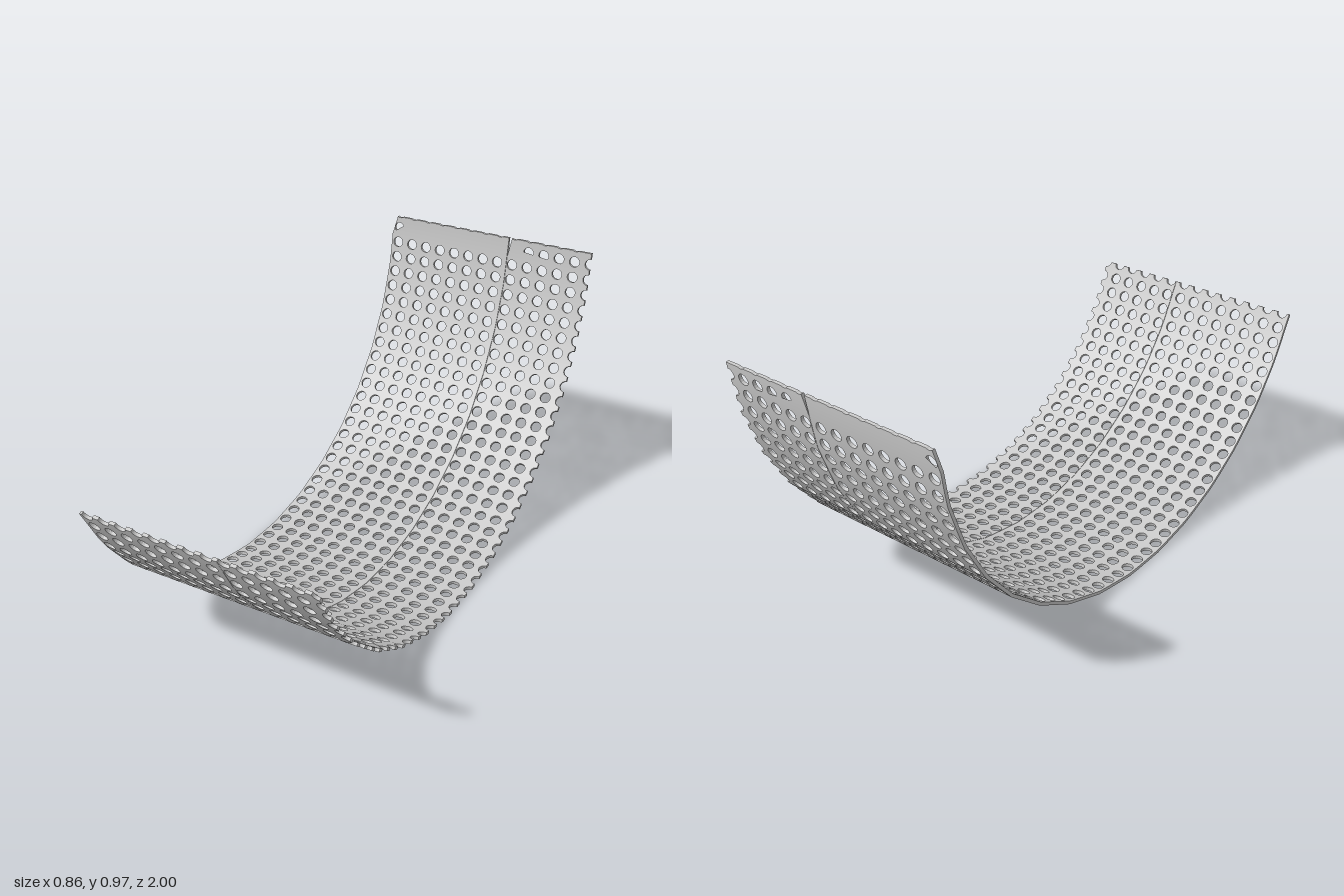
import * as THREE from 'three';
import { mergeGeometries } from 'three/addons/utils/BufferGeometryUtils.js';

const R = 1.043, THICK = 0.012, AXIS_Y = 1.04, AXIS_Z = 0.04;
const A0 = THREE.MathUtils.degToRad(-86), A1 = THREE.MathUtils.degToRad(67);
const FACETS = 15, STEP = (A1 - A0) / FACETS;
const LENGTH = R * (A1 - A0);
const HOLE = 0.0205, PITCH_X = 0.0635, FIRST_X = -0.399;
const ROWS = 45, FIRST_S = 0.044, PITCH_S = (LENGTH - FIRST_S) / ROWS;

// Flat outline of one row of the sheet: x across, y along the arc from the back end
function rowShape(x0, x1, columns, row, notched) {
  const mid = FIRST_S + row * PITCH_S;
  const first = row === 0, last = row === ROWS;
  const s0 = first ? 0 : mid - PITCH_S / 2;
  const s1 = last ? LENGTH : mid + PITCH_S / 2;
  const shape = new THREE.Shape();
  shape.moveTo(x0, s0);
  // shallow nicks along the back end
  if (first) {
    const cy = FIRST_S - PITCH_S, a = Math.asin(-cy / HOLE);
    for (const x of columns) shape.absarc(x, cy, HOLE, Math.PI - a, a, true);
  }
  shape.lineTo(x1, s0);
  // half holes on the side edge
  if (notched) shape.absarc(x1, mid, HOLE, -Math.PI / 2, last ? -Math.PI : Math.PI / 2, true);
  if (!(notched && last)) shape.lineTo(x1, s1);
  // half holes along the front end, full holes elsewhere
  if (last) {
    for (const x of [...columns].reverse()) shape.absarc(x, mid, HOLE, 0, -Math.PI, true);
  } else {
    for (const x of columns) {
      const hole = new THREE.Path();
      hole.absarc(x, mid, HOLE, 0, Math.PI * 2, true);
      shape.holes.push(hole);
    }
  }
  shape.lineTo(x0, s1);
  shape.closePath();
  return { shape, s0, s1 };
}

// Extrude a row and drop the walls where it meets its neighbours
function rowGeometry(...args) {
  const { shape, s0, s1 } = rowShape(...args);
  const source = new THREE.ExtrudeGeometry(shape, { depth: THICK, bevelEnabled: false, curveSegments: 8 });
  const p = source.attributes.position, n = source.attributes.normal;
  const joints = [s0, s1].filter((s) => s > 1e-4 && s < LENGTH - 1e-4);
  const positions = [], normals = [];
  for (let i = 0; i < p.count; i += 3) {
    if (joints.some((s) => [0, 1, 2].every((k) => Math.abs(p.getY(i + k) - s) < 1e-5))) continue;
    for (let k = i; k < i + 3; k++) {
      positions.push(p.getX(k), p.getY(k), p.getZ(k));
      normals.push(n.getX(k), n.getY(k), n.getZ(k));
    }
  }
  const geometry = new THREE.BufferGeometry();
  geometry.setAttribute('position', new THREE.Float32BufferAttribute(positions, 3));
  geometry.setAttribute('normal', new THREE.Float32BufferAttribute(normals, 3));
  return geometry;
}

// Roll the flat sheet onto a faceted arc, keeping the normals smooth
function bend(geometry) {
  const p = geometry.attributes.position, n = geometry.attributes.normal;
  for (let i = 0; i < p.count; i++) {
    const t = p.getY(i) / LENGTH * FACETS;
    const k = Math.min(FACETS - 1, Math.max(0, Math.floor(t))), f = t - k;
    const a = A0 + k * STEP, b = a + STEP, angle = A0 + t * STEP;
    const r = R - THICK + p.getZ(i);
    const sin = Math.sin(a) * (1 - f) + Math.sin(b) * f;
    const cos = Math.cos(a) * (1 - f) + Math.cos(b) * f;
    p.setXYZ(i, p.getX(i), AXIS_Y - r * cos, AXIS_Z + r * sin);
    const ns = n.getY(i), nd = n.getZ(i), c = Math.cos(angle), s = Math.sin(angle);
    n.setXYZ(i, n.getX(i), ns * s - nd * c, ns * c + nd * s);
  }
  return geometry;
}

export function createModel() {
  const model = new THREE.Group();
  model.name = 'perforatedCurvedScreen';
  const material = new THREE.MeshStandardMaterial({ color: 0xcccccc });

  // Two perforated panels meeting at a hairline seam
  const panels = [
    { name: 'widePanel', x0: -0.428, x1: 0.0843, from: 0, count: 8, notched: false },
    { name: 'narrowPanel', x0: 0.0857, x1: 0.427, from: 8, count: 5, notched: true },
  ];
  for (const { name, x0, x1, from, count, notched } of panels) {
    const columns = Array.from({ length: count }, (_, i) => FIRST_X + (from + i) * PITCH_X);
    const rows = [];
    for (let row = 0; row <= ROWS; row++) rows.push(rowGeometry(x0, x1, columns, row, notched));
    const mesh = new THREE.Mesh(bend(mergeGeometries(rows)), material);
    mesh.name = name;
    model.add(mesh);
  }
  return model;
}
